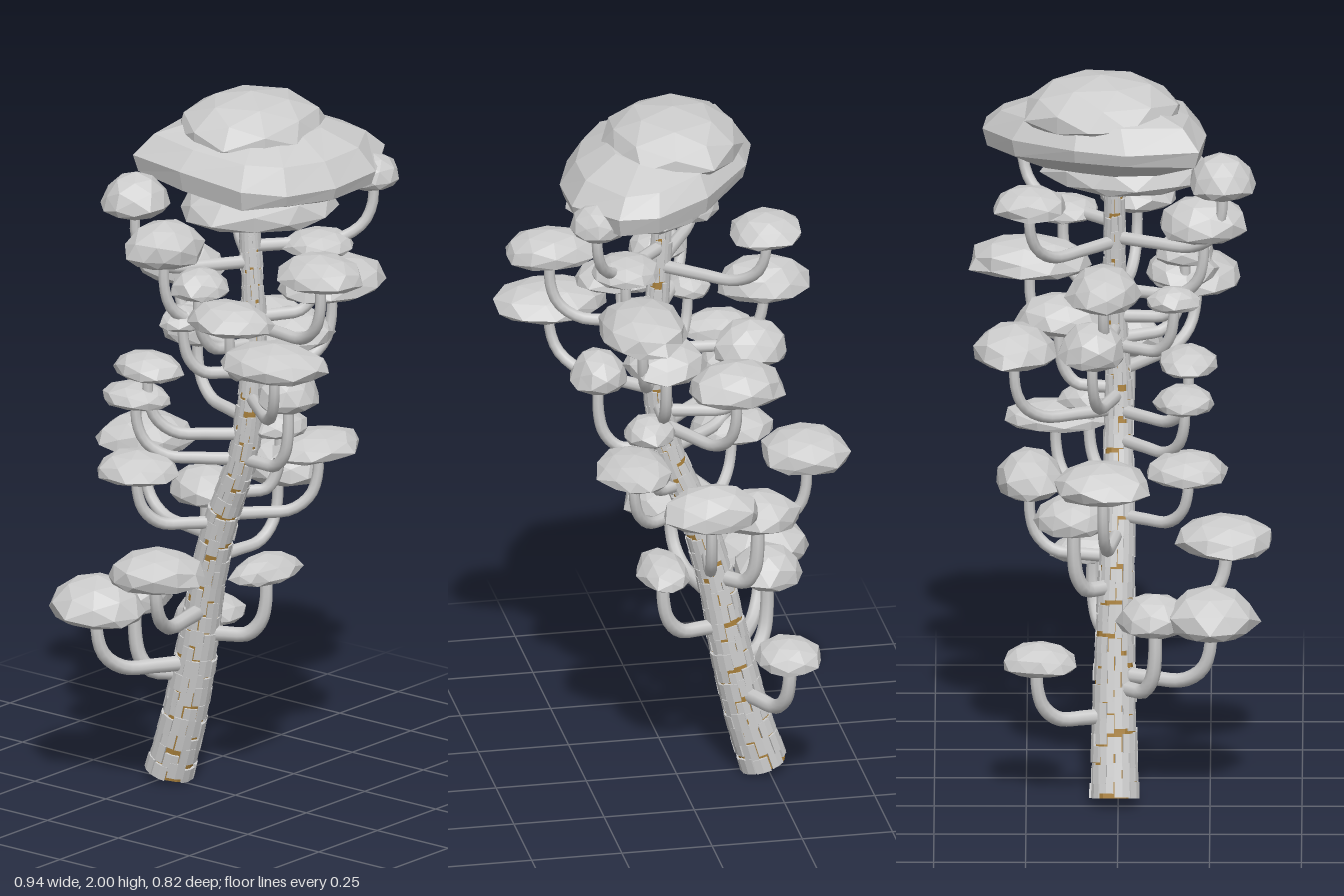
import * as THREE from 'three';
import { mergeGeometries, mergeVertices } from 'three/addons/utils/BufferGeometryUtils.js';

const V = (x, y, z) => new THREE.Vector3(x, y, z);
const grey = new THREE.MeshStandardMaterial({ color: 0xcccccc, flatShading: true });
const smoothGrey = new THREE.MeshStandardMaterial({ color: 0xcccccc });
const brown = new THREE.MeshStandardMaterial({ color: 0xa8803c, flatShading: true });

// Repeatable pseudo-random value in 0..1
const hash = (a, b = 0, c = 0) => {
  const s = Math.sin(a * 127.1 + b * 311.7 + c * 74.7 + 3.3) * 43758.5453;
  return s - Math.floor(s);
};

// Trunk centre line and taper
const trunkPath = new THREE.CatmullRomCurve3([
  V(-0.24, 0.017, -0.01), V(-0.185, 0.2, -0.01), V(-0.14, 0.4, -0.01), V(-0.1, 0.6, -0.005), V(-0.04, 0.8, 0),
  V(0.02, 0.95, 0), V(0.05, 1.1, 0), V(0.06, 1.3, -0.01), V(0.05, 1.5, -0.01), V(0.03, 1.78, -0.01),
]);
const trunkRadius = (t) => 0.022 + 0.041 * Math.pow(1 - t, 1.3);

// Point on the trunk: t along it, a around it, out = distance beyond the bark core
function onTrunk(t, a, out) {
  const u = Math.min(Math.max(t, 0), 1);
  const p = trunkPath.getPointAt(u), d = trunkPath.getTangentAt(u);
  const side = V(d.y, -d.x, 0).normalize();
  const r = trunkRadius(u) + out;
  return p.addScaledVector(side, Math.cos(a) * r).add(V(0, 0, Math.sin(a) * r));
}

// Trunk position at a given height
function trunkAt(y) {
  let lo = 0, hi = 1;
  for (let i = 0; i < 20; i++) {
    const m = (lo + hi) / 2;
    if (trunkPath.getPointAt(m).y < y) lo = m; else hi = m;
  }
  return trunkPath.getPointAt(lo);
}

// Replace each vertex by rule(v)
function bend(geo, rule) {
  const p = geo.attributes.position, v = V(0, 0, 0);
  for (let i = 0; i < p.count; i++) {
    v.fromBufferAttribute(p, i);
    const q = rule(v);
    p.setXYZ(i, q.x, q.y, q.z);
  }
  geo.computeVertexNormals();
  return geo;
}

function trunkCore() {
  return bend(new THREE.CylinderGeometry(1, 1, 1, 12, 40), (v) => (Math.hypot(v.x, v.z) < 0.01
    ? trunkPath.getPointAt(v.y + 0.5)
    : onTrunk(v.y + 0.5, Math.atan2(v.z, v.x), -0.001)));
}

// Staggered bark plates wrapped around the core
function barkPlates() {
  const plates = [], rows = 40, around = 9;
  for (let i = 0; i < rows; i++) {
    for (let j = 0; j < around; j++) {
      const t = (i + 0.5 + (hash(i, j) - 0.5) * 0.6) / rows;
      const a = ((j + (i % 2) * 0.5) / around) * Math.PI * 2;
      const wide = (Math.PI * 2 / around) * (0.86 + 0.14 * hash(i, j, 1));
      const tall = (0.95 + 0.25 * hash(i, j, 2)) / rows;
      const thick = 0.002 + 0.005 * hash(i, j, 3);
      plates.push(bend(new THREE.BoxGeometry(1, 1, 1, 2, 1, 1),
        (v) => onTrunk(t + v.y * tall, a - v.x * wide, v.z > 0 ? thick : -0.004)));
    }
  }
  return mergeGeometries(plates);
}

// Faceted cushion: domed top, shallow underside
function cushion([x, y0, y1, z, rx, rz], seed, jitter = 0.18) {
  const mid = y0 + (y1 - y0) * 0.32, turn = seed * 1.7;
  return bend(new THREE.IcosahedronGeometry(1, 1), (v) => {
    const k = 1.03 + jitter * (hash(Math.round(v.x * 50), Math.round(v.y * 50), Math.round(v.z * 50) + seed) - 0.5);
    const c = Math.cos(turn), s = Math.sin(turn);
    const px = (v.x * c - v.z * s) * k, pz = (v.x * s + v.z * c) * k;
    return V(x + px * rx, mid + v.y * (v.y > 0 ? y1 - mid : mid - y0), z + pz * rz);
  });
}

// Broad crown slab: an uneven outline (x, z) stacked at scales and heights, leaning down to +x
function crownSlab() {
  const outline = [
    [0, 0.24], [0.2, 0.22], [0.28, 0.12], [0.33, -0.03], [0.33, -0.2], [0.23, -0.36],
    [0.12, -0.37], [-0.03, -0.29], [-0.17, -0.12], [-0.21, 0.02], [-0.18, 0.22],
  ];
  const levels = [[0.6, 1.735], [0.96, 1.775], [1, 1.82], [0.84, 1.88], [0.5, 1.92]];
  const n = outline.length, cx = 0.06, cz = -0.06;
  return bend(new THREE.CylinderGeometry(1, 1, 4, n, 4), (v) => {
    const [scale, y] = levels[Math.round(v.y + 2)];
    const i = (Math.round(Math.atan2(v.x, v.z) / (Math.PI * 2) * n) + n) % n;
    const k = Math.hypot(v.x, v.z) < 0.01 ? 0 : scale;
    const dx = (outline[i][0] - cx) * k, dz = (outline[i][1] - cz) * k;
    return V(cx + dx, y - dx * 0.1 + k * 0.02 * (hash(i, y) - 0.5), cz + dz);
  });
}

// Branch leaving the trunk sideways and turning up into its cushion
function branch([x, y0, y1, z], drop) {
  const start = trunkAt(y0 - drop), end = V(x, y0 + (y1 - y0) * 0.4, z);
  const out = (f, y) => V(start.x + (x - start.x) * f, y, start.z + (z - start.z) * f);
  const low = start.y;
  const path = new THREE.CatmullRomCurve3([
    start, out(0.4, low + 0.003), out(0.72, low + 0.01), out(0.92, low + 0.05), out(1, low + 0.11), end,
  ]);
  const segments = 18, sides = 8, r0 = y0 < 0.8 ? 0.023 : 0.019;
  const geo = new THREE.TubeGeometry(path, segments, r0, sides);
  const p = geo.attributes.position, v = V(0, 0, 0);
  for (let i = 0; i < p.count; i++) {
    const t = Math.floor(i / (sides + 1)) / segments;
    const c = path.getPointAt(t);
    v.fromBufferAttribute(p, i).sub(c).multiplyScalar(1 - 0.25 * t).add(c);
    p.setXYZ(i, v.x, v.y, v.z);
  }
  geo.deleteAttribute('uv');
  const welded = mergeVertices(geo, 1e-5);
  welded.computeVertexNormals();
  return welded;
}

// Side cushions: x, bottom, top, z, half width, half depth
const lower = [
  [-0.28, 0.49, 0.63, 0.25, 0.135, 0.125],
  [-0.27, 0.49, 0.61, 0.1, 0.09, 0.1],
  [-0.27, 0.38, 0.47, -0.22, 0.09, 0.1],
  [-0.04, 0.65, 0.76, 0.29, 0.13, 0.13],
  [0.05, 0.6, 0.68, -0.07, 0.07, 0.12],
  [-0.2, 0.76, 0.87, -0.12, 0.115, 0.1],
];
const middle = [
  [-0.35, 0.9, 1.01, -0.04, 0.12, 0.13],
  [-0.19, 0.9, 0.99, 0.19, 0.11, 0.11],
  [-0.05, 0.82, 0.95, -0.24, 0.13, 0.09],
  [0.15, 0.95, 1.03, -0.17, 0.1, 0.14],
  [0.09, 1.02, 1.1, -0.08, 0.07, 0.08],
  [-0.2, 1.11, 1.18, 0.18, 0.1, 0.08],
  [-0.15, 1.2, 1.28, 0.19, 0.1, 0.08],
  [-0.19, 1.23, 1.36, -0.07, 0.1, 0.09],
  [0.21, 1.14, 1.26, 0.03, 0.075, 0.09],
  [0.31, 1.3, 1.4, 0.21, 0.15, 0.12],
  [0.06, 1.25, 1.36, -0.16, 0.11, 0.12],
  [-0.11, 1.21, 1.33, -0.28, 0.13, 0.11],
];
const upper = [
  [-0.23, 1.41, 1.53, -0.04, 0.13, 0.1],
  [0.34, 1.52, 1.62, 0.05, 0.125, 0.1],
  [0.14, 1.39, 1.5, -0.24, 0.12, 0.17],
  [0.12, 1.38, 1.47, 0.17, 0.13, 0.095],
  [-0.06, 1.35, 1.42, 0.15, 0.06, 0.07],
  [0.02, 1.46, 1.55, 0.18, 0.075, 0.08],
  [0.17, 1.54, 1.61, -0.15, 0.09, 0.1],
  [-0.06, 1.55, 1.68, 0.23, 0.1, 0.12],
  [-0.12, 1.69, 1.82, 0.28, 0.09, 0.09],
  [-0.2, 1.66, 1.75, -0.24, 0.1, 0.1],
  [0.27, 1.72, 1.82, -0.26, 0.07, 0.08],
];

export function createModel() {
  const model = new THREE.Group();
  model.name = 'tree';
  const add = (name, geo, mat, parent) => {
    const m = new THREE.Mesh(geo, mat);
    m.name = name;
    parent.add(m);
  };
  const group = (name) => {
    const g = new THREE.Group();
    g.name = name;
    model.add(g);
    return g;
  };

  const trunk = group('trunk');
  add('trunkCore', trunkCore(), [brown, grey, grey], trunk);
  add('barkPlates', barkPlates(), grey, trunk);

  // Each tier of branches with its foliage
  Object.entries({ lower, middle, upper }).forEach(([tier, list], n) => {
    const parent = group(tier + 'Branches');
    list.forEach((pad, i) => {
      add('branch', branch(pad, 0.13 + 0.05 * hash(n, i)), smoothGrey, parent);
      add('foliage', cushion(pad, n * 20 + i), grey, parent);
    });
  });

  // Layered crown: dome, broad slab, lower layer
  const crown = group('crown');
  add('crownDome', cushion([0.02, 1.84, 2.0, -0.045, 0.19, 0.215], 70, 0.08), grey, crown);
  add('crownSlab', crownSlab(), grey, crown);
  add('crownUnderlayer', cushion([0.1, 1.66, 1.8, 0.02, 0.2, 0.22], 72, 0.12), grey, crown);
  return model;
}
